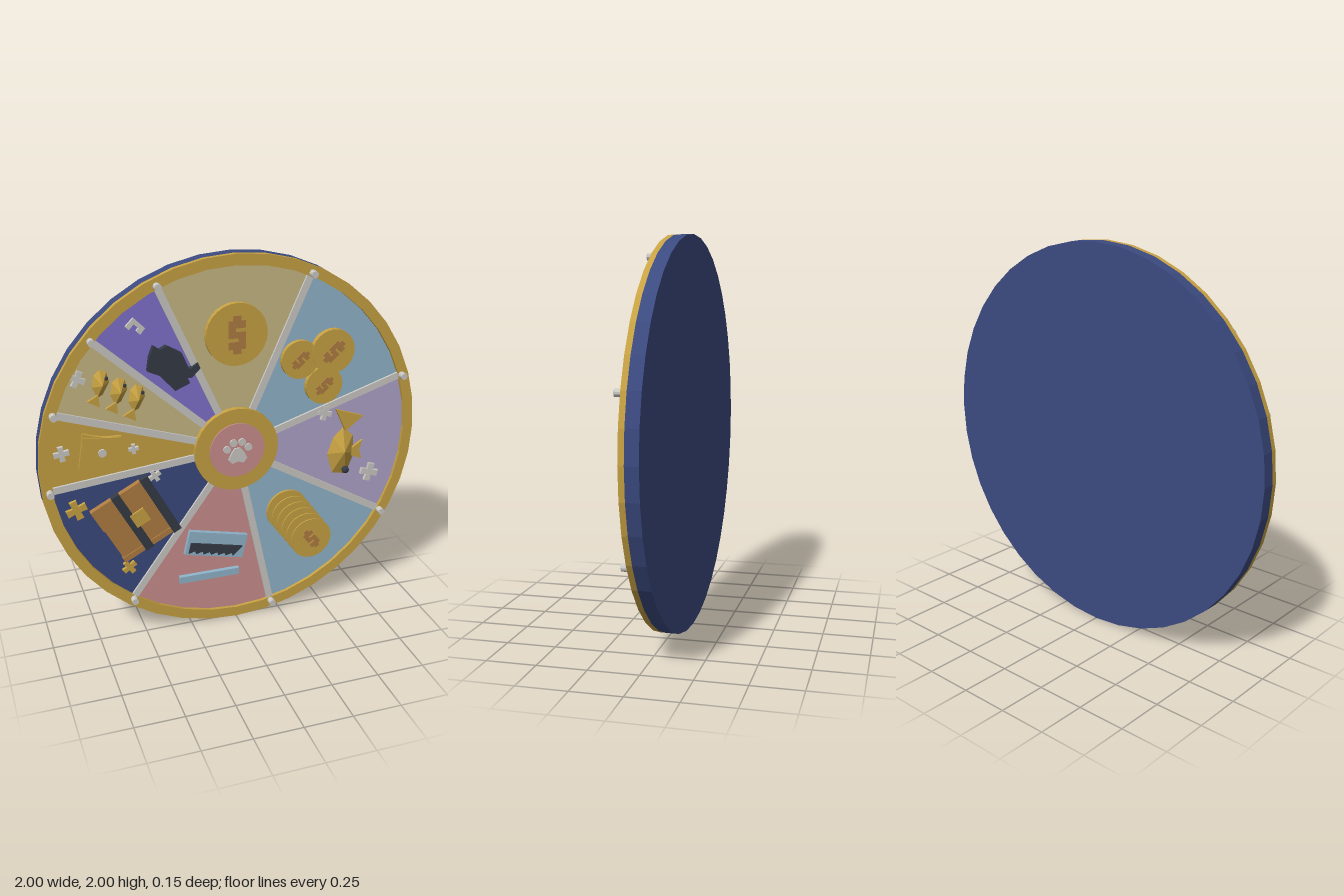
import * as THREE from 'three';

const paint = (name, color) => {
  const m = new THREE.MeshStandardMaterial({ color });
  m.name = name;
  return m;
};

export function createModel() {
  const gold = paint('gold', 0xc8a243), tan = paint('tan', 0xc9b885), sky = paint('light blue', 0x91b5cb);
  const lavender = paint('lavender', 0xafa3cb), pink = paint('pink', 0xcb8f8f), navy = paint('navy', 0x3b4a80);
  const purple = paint('purple', 0x8070cc), grey = paint('light grey', 0xcbcac6);
  const copper = paint('copper', 0xb07d42), dark = paint('charcoal', 0x343a46);

  const model = new THREE.Group();
  model.name = 'prizeWheel';
  const wheel = new THREE.Group();
  wheel.name = 'wheel';
  wheel.position.y = 1;
  model.add(wheel);

  const add = (name, geo, mat, parent = wheel) => {
    const mesh = new THREE.Mesh(geo, mat);
    mesh.name = name;
    parent.add(mesh);
    return mesh;
  };
  const group = (name, x = 0, y = 0, z = 0, degrees = 0) => {
    const g = new THREE.Group();
    g.name = name;
    g.position.set(x, y, z);
    g.rotation.z = THREE.MathUtils.degToRad(degrees);
    wheel.add(g);
    return g;
  };
  // Outline points are in hundredths of a unit
  const toPoints = (pts) => pts.map(([x, y]) => new THREE.Vector2(x / 100, y / 100));
  const ngon = (r, n, x = 0, y = 0) => Array.from({ length: n }, (_, i) => {
    const a = (i / n) * Math.PI * 2;
    return new THREE.Vector2(x + r * Math.cos(a), y + r * Math.sin(a));
  });
  const slab = (name, points, z0, z1, mat, parent, hole) => {
    const shape = new THREE.Shape(points);
    if (hole) shape.holes.push(new THREE.Path(hole));
    const geo = new THREE.ExtrudeGeometry(shape, { depth: z1 - z0, bevelEnabled: false });
    return add(name, geo.translate(0, 0, z0), mat, parent);
  };
  const disc = (name, x, y, r, z0, z1, mat, parent, n = 28) => slab(name, ngon(r, n, x, y), z0, z1, mat, parent);
  const bar = (name, x, y, w, h, z0, z1, mat, parent) =>
    add(name, new THREE.BoxGeometry(w, h, z1 - z0).translate(x, y, (z0 + z1) / 2), mat, parent);
  // Faceted relief: an outline rising to a single peak
  const relief = (name, pts, peak, z0, z1, mat, parent) => {
    const p = toPoints(pts);
    if (THREE.ShapeUtils.isClockWise(p)) p.reverse();
    const v = [];
    p.forEach((a, i) => {
      const b = p[(i + 1) % p.length];
      v.push(a.x, a.y, z0, b.x, b.y, z0, peak[0] / 100, peak[1] / 100, z1);
    });
    const geo = new THREE.BufferGeometry();
    geo.setAttribute('position', new THREE.Float32BufferAttribute(v, 3));
    geo.computeVertexNormals();
    return add(name, geo, mat, parent);
  };

  // Wheel body and rim
  disc('backDisc', 0, 0, 1, -0.075, -0.01, navy, wheel, 40);
  slab('rim', ngon(1, 40), -0.01, 0.018, gold, wheel, ngon(0.945, 40).reverse());

  // Nine fields: six wide, three narrow, with a divider and peg at each start
  const fields = [[66, 48, tan], [18, 48, sky], [-30, 48, lavender], [-78, 48, sky], [-126, 48, pink],
    [-174, 48, navy], [162, 24, gold], [138, 24, tan], [114, 24, purple]];
  for (const [start, span, mat] of fields) {
    const a = THREE.MathUtils.degToRad(start);
    add('field', new THREE.CircleGeometry(0.955, span / 4, a, THREE.MathUtils.degToRad(span)), mat);
    const spoke = group('spoke', 0, 0, 0, start);
    bar('divider', 0.57, 0, 0.76, 0.036, -0.005, 0.012, grey, spoke);
    disc('peg', 0.96, 0, 0.018, 0, 0.055, grey, spoke, 10);
  }

  // Hub with paw
  disc('hub', 0, 0, 0.222, 0, 0.03, gold, wheel, 32);
  disc('hubPlate', 0, 0, 0.146, 0.03, 0.037, pink, wheel, 32);
  slab('pawPad', toPoints([[-5, -4.5], [-3, -6.8], [0, -5.8], [3, -6.8], [5, -4.5], [3.4, -1], [1.5, 1.5], [-1.5, 1.5], [-3.4, -1]]), 0.037, 0.046, grey);
  for (const [x, y] of [[-0.057, 0.013], [-0.023, 0.045], [0.023, 0.045], [0.057, 0.013]])
    disc('pawToe', x, y, 0.02, 0.037, 0.046, grey, wheel, 10);

  // Coins with a stepped emblem
  const emblem = [[-2, 9.6], [2, 9.6], [2, 7.2], [4.3, 7.2], [4.3, 3.4], [-0.8, 3.4], [-0.8, 1.6], [4.3, 1.6], [4.3, -7.2],
    [2, -7.2], [2, -9.6], [-2, -9.6], [-2, -7.2], [-4.3, -7.2], [-4.3, -3.4], [0.8, -3.4], [0.8, -1.6], [-4.3, -1.6], [-4.3, 7.2], [-2, 7.2]];
  const coin = (x, y, r, z0, z1, turn, size) => {
    const g = group('coin', x, y, 0, turn);
    disc('coinDisc', 0, 0, r, z0, z1, gold, g);
    if (size) slab('coinEmblem', toPoints(emblem.map(([u, v]) => [u * size, v * size])), z1, z1 + 0.007, copper, g);
  };
  coin(0, 0.608, 0.158, 0, 0.03, 0, 1);
  coin(0.337, 0.442, 0.1, 0, 0.026, -48, 0.58);
  coin(0.514, 0.469, 0.116, 0, 0.03, -48, 0.72);
  coin(0.471, 0.292, 0.1, 0, 0.028, -48, 0.58);
  for (let i = 0; i < 6; i++) {
    const t = i / 5;
    coin(0.29 + 0.128 * t, -0.4 - 0.175 * t, 0.115, 0.007 * i, 0.014 + 0.0068 * i, 36, i === 5 ? 0.66 : 0);
  }

  // Sparkles
  const sparkles = [[-0.83, -0.217, 0.052, 20, gold], [-0.578, -0.587, 0.038, 35, gold], [-0.428, -0.088, 0.032, 30, grey],
    [-0.884, 0.094, 0.038, 8, grey], [-0.53, 0.072, 0.025, 5, grey], [-0.787, 0.463, 0.04, -25, grey],
    [0.487, 0.131, 0.038, -15, grey], [0.76, -0.244, 0.05, -15, grey]];
  for (const [x, y, r, turn, mat] of sparkles) {
    const g = group('sparkle', x, y, 0, turn);
    const a = r * 30, b = r * 100;
    slab('sparkleCross', toPoints([[a, a], [b, a * 1.2], [b, -a * 1.2], [a, -a], [a * 1.2, -b], [-a * 1.2, -b],
      [-a, -a], [-b, -a * 1.2], [-b, a * 1.2], [-a, a], [-a * 1.2, b], [a * 1.2, b]]), 0, 0.018, mat, g);
  }

  // Large fish
  relief('fishBody', [[60, 3.5], [65.9, -1.9], [67, -12.6], [62.7, -23.8], [54.6, -22.2], [51.4, -11], [54.6, -1.9]], [59.5, -9], 0, 0.05, gold);
  slab('fishTail', toPoints([[54.6, 14.7], [70.2, 9.4], [60.5, 2]]), 0.006, 0.024, gold);
  slab('fishFin', toPoints([[65, -8.3], [70.7, -4.6], [69.1, -10.4], [70.7, -15.3], [65, -13.1]]), 0.006, 0.02, gold);
  add('fishEye', new THREE.SphereGeometry(0.02, 10, 8).translate(0.6, -0.19, 0.052), dark);

  // Three small fish
  for (let i = 0; i < 3; i++) {
    const g = group('smallFish', -0.675 + 0.086 * i, 0.42 - 0.046 * i);
    relief('smallFishBody', [[3.2, 6], [4.4, 1], [1, -5], [-1.8, -6.5], [-4, -1], [-3, 5], [0, 7.5]], [0.4, 0.5], 0, 0.04, gold, g);
    slab('smallFishTail', toPoints([[-1.5, -4.5], [-7, -7.5], [-1, -10.7]]), 0.004, 0.018, gold, g);
    add('smallFishEye', new THREE.SphereGeometry(0.009, 8, 6).translate(0.027, 0.037, 0.024), dark, g);
  }

  // Treasure chest
  const chest = group('chest', -0.536, -0.313, 0, 28);
  bar('chestBody', 0, 0, 0.325, 0.35, 0, 0.026, copper, chest);
  bar('chestLid', 0, 0.11, 0.335, 0.13, 0, 0.032, copper, chest);
  bar('chestBase', 0, -0.16, 0.335, 0.03, 0, 0.032, copper, chest);
  for (const x of [-0.022, 0.145]) bar('chestStrap', x, 0, 0.046, 0.362, 0, 0.037, dark, chest);
  bar('chestLock', 0.024, 0.005, 0.08, 0.08, 0.02, 0.042, gold, chest);

  // Gold satchel with a clasp
  const satchel = group('satchel', -0.697, 0.083, 0, -6);
  slab('satchelBody', toPoints([[-10, -9.5], [-3, -9], [3, -9.6], [10, -9], [9.4, 0], [10, 8], [3, 7.4], [-3, 8], [-9, 9.5], [-9.5, 0]]), 0, 0.02, gold, satchel);
  bar('satchelFlap', 0, 0.05, 0.18, 0.05, 0, 0.026, gold, satchel);
  disc('satchelClasp', 0.01, -0.005, 0.021, 0.02, 0.029, grey, satchel, 10);

  // Dark bag and angled ornament on the purple field
  slab('bag', toPoints([[-43.9, 53.8], [-41.8, 59.2], [-38.6, 57], [-35.4, 58.7], [-27.9, 54.4], [-24.1, 45.8], [-19.8, 48.5],
    [-18.7, 45.8], [-23, 41.5], [-25.2, 41.5], [-24, 38.8], [-31.6, 35.6], [-39.1, 44.2], [-45, 46.9]]), 0, 0.03, dark);
  slab('angledOrnament', toPoints([[-54.5, 69.5], [-50.5, 73.5], [-45, 68], [-47.5, 65], [-49.4, 67], [-48.2, 68.4], [-50.5, 70.4], [-52.8, 67.8]]), 0, 0.015, grey);

  // Comb plate with jagged strip, and the bar below it
  const comb = group('comb', -0.112, -0.533, 0, -13);
  bar('combPlate', 0, 0, 0.325, 0.135, 0, 0.026, sky, comb);
  const teeth = [[14.5, 0.5], [-14.5, 0.5]];
  for (let i = 0; i <= 6; i++) {
    const x = -14.5 + i * 4.14;
    teeth.push([x, -5.6]);
    if (i < 6) teeth.push([x + 3.2, -4]);
  }
  slab('combTeeth', toPoints(teeth), 0.02, 0.034, dark, comb);
  bar('combHandle', -0.15, -0.715, 0.33, 0.038, 0, 0.024, sky);

  return model;
}
